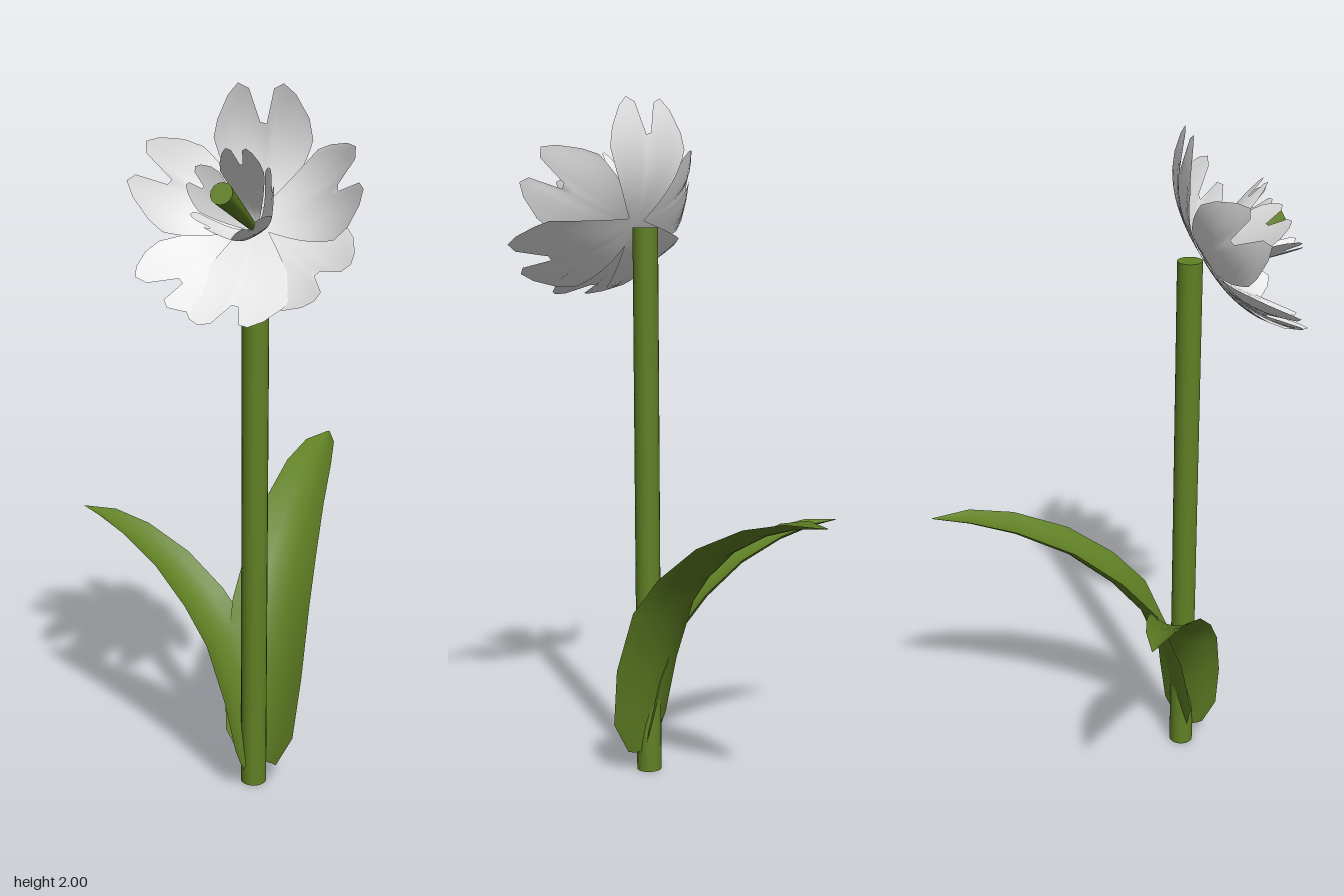
import * as THREE from 'three';

// Smooth sheet from a grid: f(s, j) gives a point for each column value s and row j
function sheet(columns, rows, f) {
  const pos = [], idx = [], n = columns.length;
  for (let j = 0; j <= rows; j++) columns.forEach((s, i) => pos.push(...f(s, j, i)));
  for (let j = 0; j < rows; j++) {
    for (let i = 0; i < n - 1; i++) {
      const a = j * n + i, b = a + 1, c = a + n, d = c + 1;
      idx.push(a, b, d, a, d, c);
    }
  }
  const g = new THREE.BufferGeometry();
  g.setAttribute('position', new THREE.Float32BufferAttribute(pos, 3));
  g.setIndex(idx);
  g.computeVertexNormals();
  return g;
}

// Petal growing along -z, with y as the flower's axis and a notched, two-lobed tip
const petalColumns = [-1, -0.85, -0.6, -0.4, -0.22, -0.06, 0.06, 0.22, 0.4, 0.6, 0.85, 1];
const petalLengths = [0.66, 0.78, 0.93, 1, 0.97, 0.77, 0.76, 0.97, 1, 0.94, 0.8, 0.66];
function petalGeometry(halfWidth, cup, profile) {
  const rows = 10;
  return sheet(petalColumns, rows, (s, j, i) => {
    const t = (j / rows) * petalLengths[i];
    const x = s * halfWidth * (0.13 + 0.87 * Math.sin(t * Math.PI / 2));
    const [out, up] = profile(t);
    return [x, up + cup * x * x, -out + cup * 0.5 * x * x];
  });
}

// Leaf spine: [z, y, half width], arching up and back
const spine = [
  [0, 0, 0.05], [-0.015, 0.09, 0.1], [-0.055, 0.26, 0.115], [-0.13, 0.44, 0.115],
  [-0.225, 0.55, 0.106], [-0.36, 0.66, 0.09], [-0.52, 0.74, 0.07], [-0.65, 0.78, 0.045],
  [-0.76, 0.797, 0.002],
];
function leafGeometry() {
  return sheet([-1, -0.66, -0.33, 0, 0.33, 0.66, 1], spine.length - 1, (s, j) => {
    const [z, y, w] = spine[j];
    const a = spine[Math.max(j - 1, 0)], b = spine[Math.min(j + 1, spine.length - 1)];
    const len = Math.hypot(b[0] - a[0], b[1] - a[1]);
    const lift = 0.4 * w * s * s; // edges curl towards the stem
    return [s * w, y + lift * (a[0] - b[0]) / len, z + lift * (b[1] - a[1]) / len];
  });
}

export function createModel() {
  const green = new THREE.MeshStandardMaterial({ color: 0x608024, side: THREE.DoubleSide });
  green.name = 'leafGreen';
  const white = new THREE.MeshStandardMaterial({ color: 0xeeeeee, side: THREE.DoubleSide });
  white.name = 'petalWhite';

  const model = new THREE.Group();
  model.name = 'flowerPlant';
  const add = (parent, name, geometry, material) => {
    const mesh = new THREE.Mesh(geometry, material);
    mesh.name = name;
    parent.add(mesh);
    return mesh;
  };

  // Stem
  add(model, 'stem', new THREE.CylinderGeometry(0.037, 0.037, 1.63, 20), green)
    .position.set(0.14, 0.815, 0.218);

  // Leaves
  const leaf = leafGeometry();
  add(model, 'backLeaf', leaf, green).position.set(0.161, 0.06, 0.21);
  const sideLeaf = add(model, 'rightLeaf', leaf, green);
  sideLeaf.position.set(0.13, 0.06, 0.242);
  sideLeaf.rotation.y = 1.205;
  sideLeaf.scale.setScalar(0.83);

  // Flower head, tilted forward
  const flower = new THREE.Group();
  flower.name = 'flowerHead';
  flower.position.set(0.15, 1.625, 0.22);
  flower.rotation.x = Math.PI / 3;
  model.add(flower);

  // Outer petals: [angle in degrees, size, depth, lift along the axis]
  const outer = petalGeometry(0.155, 0.3, t => [0.328 * t, 0.034 + 0.145 * Math.pow(t, 2.6)]);
  const outerPetals = [
    [0, 1, 1, 0], [73, 0.94, 1.2, 0], [142, 1, 1, 0],
    [181, 1.04, 1, 0.008], [232, 1.03, 1, 0], [287, 0.95, 1.18, 0.002],
  ];
  outerPetals.forEach(([angle, size, depth, lift], i) => {
    const petal = add(flower, 'outerPetal' + (i + 1), outer, white);
    petal.rotation.y = THREE.MathUtils.degToRad(angle);
    petal.scale.set(size, size * depth, size);
    petal.position.y = lift;
  });

  // Inner cup of five smaller petals
  const inner = petalGeometry(0.066, 3, t => [0.112 * Math.pow(t, 0.6), 0.036 + 0.258 * t]);
  for (let i = 0; i < 5; i++) {
    const petal = add(flower, 'innerPetal' + (i + 1), inner, white);
    petal.rotation.y = i * Math.PI * 2 / 5;
    petal.position.z = 0.02;
  }

  // Pistil widening to a flat end
  const base = new THREE.Vector3(-0.005, 0.05, 0.015), tip = new THREE.Vector3(-0.02, 0.29, 0.028);
  const pistil = add(flower, 'pistil',
    new THREE.CylinderGeometry(0.03, 0.012, base.distanceTo(tip), 14), green);
  pistil.position.lerpVectors(base, tip, 0.5);
  pistil.quaternion.setFromUnitVectors(
    new THREE.Vector3(0, 1, 0), tip.clone().sub(base).normalize());

  return model;
}
